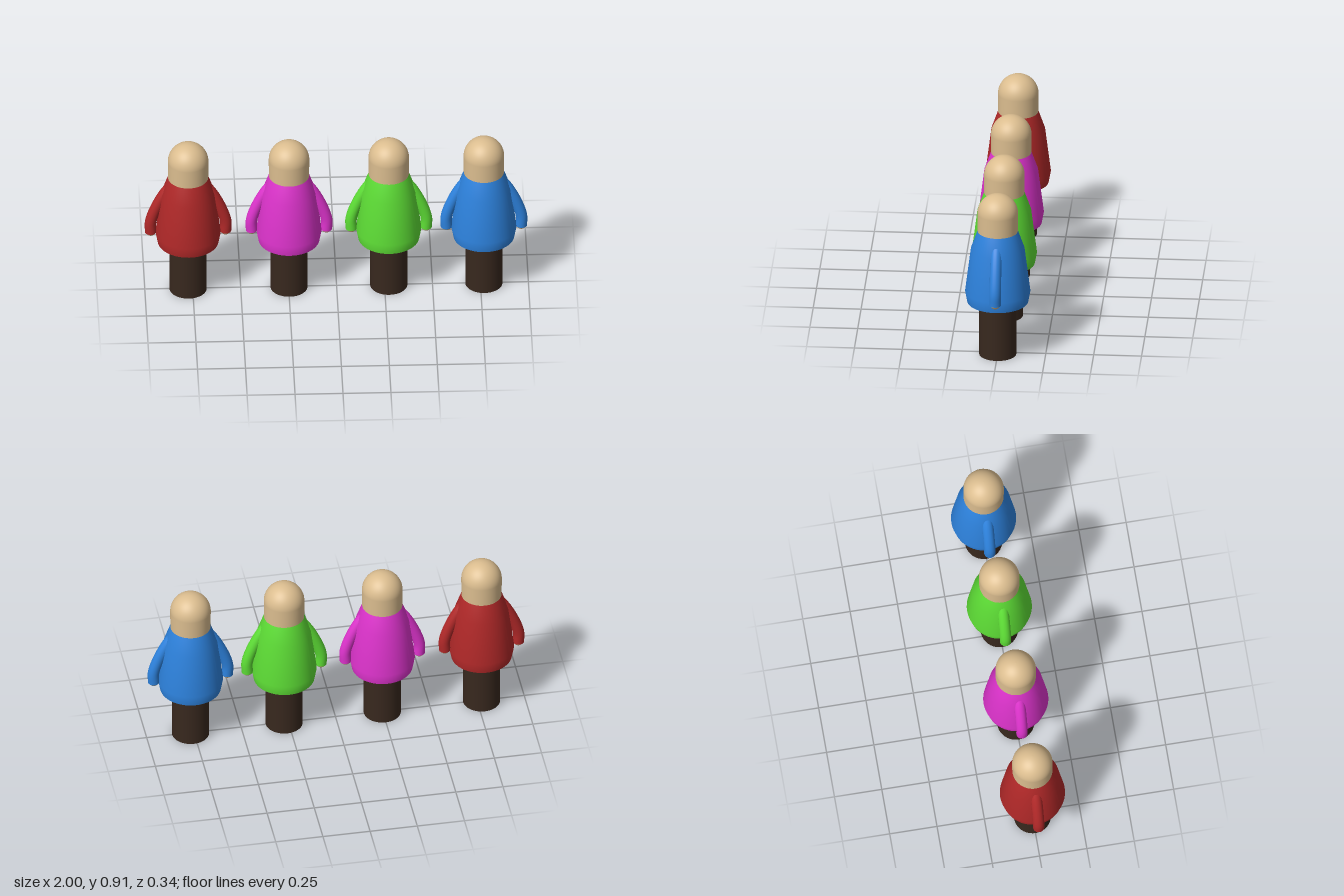
import * as THREE from 'three';

const mat = (color, side = THREE.FrontSide) => new THREE.MeshStandardMaterial({ color, side });
const v2 = (x, y) => new THREE.Vector2(x, y);
const v3 = (x, y) => new THREE.Vector3(x, y, 0);

function part(name, geometry, material, parent, y = 0) {
  const mesh = new THREE.Mesh(geometry, material);
  mesh.name = name;
  mesh.position.y = y;
  parent.add(mesh);
  return mesh;
}

export function createModel() {
  const model = new THREE.Group();
  model.name = 'pegFigures';
  const skin = mat(0xdbbd8f);
  const trousers = mat(0x38281e);

  // Shared geometry for all figures
  const legs = new THREE.CylinderGeometry(0.097, 0.097, 0.31, 48);
  const coat = new THREE.LatheGeometry(
    [v2(0.159, 0.3), v2(0.17, 0.36), v2(0.14, 0.6), v2(0.105, 0.7)], 48);
  const hem = new THREE.CircleGeometry(0.159, 48).rotateX(Math.PI / 2);
  // Straight neck running into a domed crown
  const headProfile = [v2(0.105, 0.69)];
  for (let i = 0; i <= 16; i++) {
    const a = (i / 16) * Math.PI / 2;
    headProfile.push(v2(0.106 * Math.cos(a), 0.8 + 0.106 * Math.sin(a)));
  }
  const head = new THREE.LatheGeometry(headProfile, 48);

  const hand = new THREE.SphereGeometry(0.027, 24, 16);

  // Bowed sleeve path from inside the shoulder to the wrist
  const armPath = (side) => new THREE.CatmullRomCurve3([
    v3(0.06 * side, 0.68), v3(0.122 * side, 0.6), v3(0.172 * side, 0.5),
    v3(0.196 * side, 0.42), v3(0.195 * side, 0.36)]);

  const figures = [
    ['red', -0.774, 0xb02828], ['magenta', -0.248, 0xdd33cc],
    ['green', 0.272, 0x5ddd35], ['blue', 0.768, 0x2d82dd]];

  for (const [name, x, color] of figures) {
    const figure = new THREE.Group();
    figure.name = name + 'Figure';
    figure.position.x = x;
    model.add(figure);
    const cloth = mat(color);

    part('legs', legs, trousers, figure, 0.155);
    part('coat', coat, cloth, figure);
    part('coatHem', hem, cloth, figure, 0.3);
    part('head', head, skin, figure);

    for (const [label, side] of [['left', 1], ['right', -1]]) {
      const sleeve = new THREE.TubeGeometry(armPath(side), 28, 0.03, 20);
      part(label + 'Sleeve', sleeve, mat(color, THREE.DoubleSide), figure);
      part(label + 'Hand', hand, skin, figure, 0.367).position.x = 0.195 * side;
    }
  }
  return model;
}
